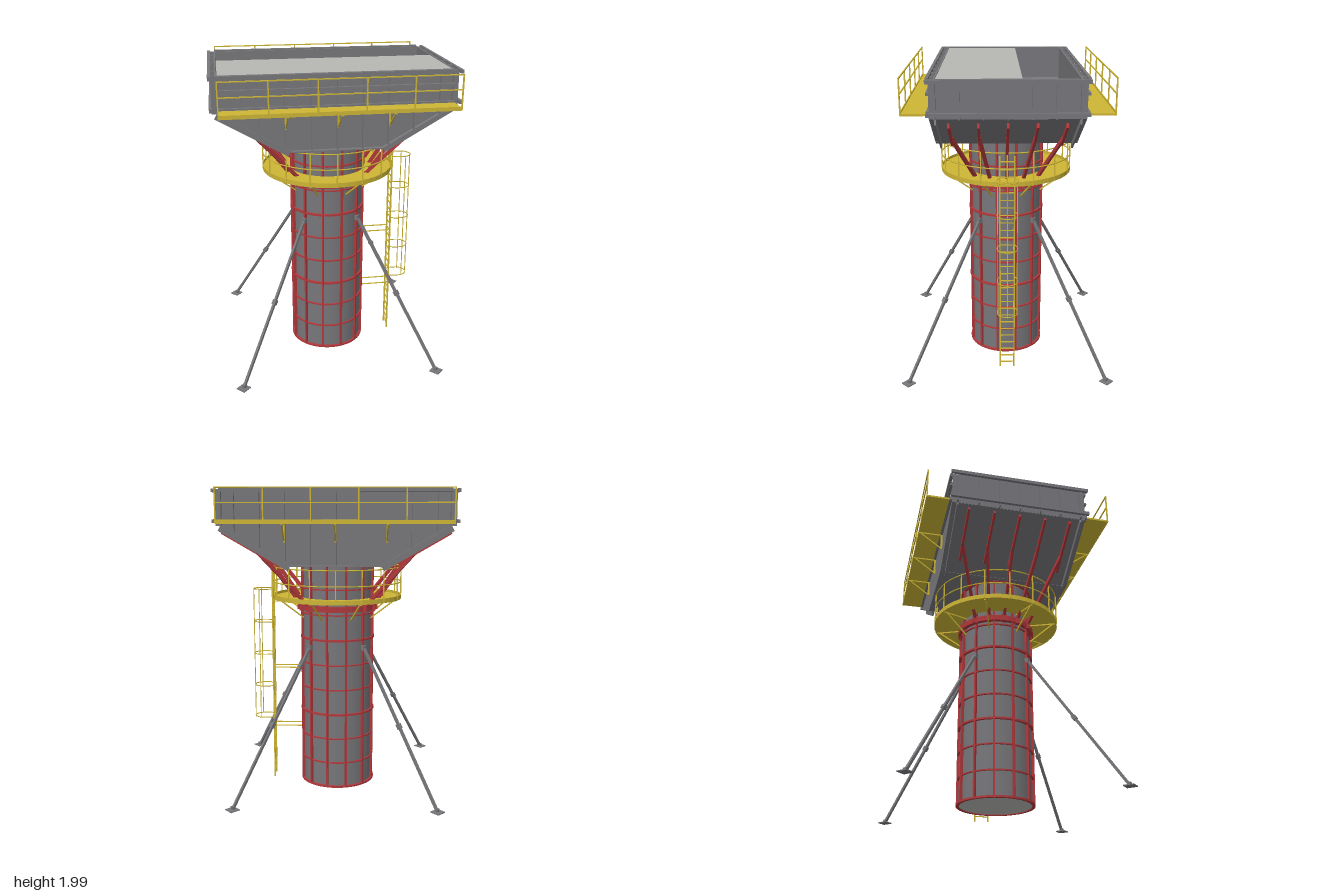
import * as THREE from 'three';

const mat = (name, color, side = THREE.FrontSide) => {
  const m = new THREE.MeshStandardMaterial({ color, side });
  m.name = name;
  return m;
};
const steel = mat('grey steel', 0x77777b);
const red = mat('red steel', 0xb0383b);
const yellow = mat('yellow steel', 0xcdb535);
const concrete = mat('concrete', 0xb6b6b3);

const V = (x, y, z) => new THREE.Vector3(x, y, z);

export function createModel() {
  const model = new THREE.Group();

  const group = (name) => {
    const g = new THREE.Group();
    g.name = name;
    model.add(g);
    return g;
  };
  const add = (parent, name, geo, material, x = 0, y = 0, z = 0) => {
    const m = new THREE.Mesh(geo, material);
    m.name = name;
    m.position.set(x, y, z);
    parent.add(m);
    return m;
  };
  const box = (parent, name, material, w, h, d, x, y, z) =>
    add(parent, name, new THREE.BoxGeometry(w, h, d), material, x, y, z);
  // Rectangular bar between two points
  const bar = (parent, name, material, a, b, w, h = w) => {
    const m = add(parent, name, new THREE.BoxGeometry(w, h, a.distanceTo(b)), material);
    m.position.copy(a).add(b).multiplyScalar(0.5);
    m.lookAt(b);
    return m;
  };
  // Horizontal ring with a rectangular section
  const ring = (parent, name, material, rIn, rOut, y0, y1, seg = 48) => {
    const pts = [[rIn, y0], [rOut, y0], [rOut, y1], [rIn, y1], [rIn, y0]];
    const geo = new THREE.LatheGeometry(pts.map((p) => new THREE.Vector2(...p)), seg).toNonIndexed();
    geo.computeVertexNormals();
    return add(parent, name, geo, material);
  };
  const polar = (r, y, a) => V(r * Math.sin(a), y, r * Math.cos(a));

  // Column form with ribs, hoops and collar
  const column = group('column');
  add(column, 'columnShell', new THREE.CylinderGeometry(0.235, 0.235, 1.51, 48, 1, true), steel, 0, 0.757, 0);
  const base = add(column, 'columnConcrete', new THREE.CircleGeometry(0.235, 48), concrete, 0, 0.003, 0);
  base.rotation.x = Math.PI / 2;
  for (let i = 0; i < 12; i++) {
    const a = ((i + 0.5) * Math.PI) / 6;
    const rib = box(column, 'columnRib', red, 0.012, 1.52, 0.02, 0.242 * Math.sin(a), 0.763, 0.242 * Math.cos(a));
    rib.rotation.y = a;
  }
  for (let i = 0; i < 10; i++) {
    const y = 0.004 + i * 0.1675;
    const t = i % 3 === 0 ? 0.006 : 0.004;
    ring(column, 'columnHoop', red, 0.233, i % 3 === 0 ? 0.252 : 0.247, y - t, y + t);
  }
  ring(column, 'collar', red, 0.233, 0.262, 1.2, 1.236);

  // Hopper-shaped cap form: profile in the front plane
  const profile = (inset, top) => {
    const s = new THREE.Shape();
    [[-0.28, 1.512], [0.28, 1.512], [0.71, 1.76], [0.71, 2], [-0.71, 2], [-0.71, 1.76]].forEach(([x, y], i) => {
      const px = x - Math.sign(x) * inset;
      const py = y === 2 ? top : y + inset;
      if (i) s.lineTo(px, py);
      else s.moveTo(px, py);
    });
    return s;
  };
  const extrude = (shape, depth) => new THREE.ExtrudeGeometry(shape, { depth, bevelEnabled: false });
  const cap = group('capForm');
  box(cap, 'floorPlate', steel, 0.56, 0.01, 0.82, 0, 1.515, 0);
  for (const s of [-1, 1]) {
    add(cap, 'sidePanel', extrude(profile(0, 1.985), 0.01), steel, 0, 0, s > 0 ? 0.405 : -0.415);
    box(cap, 'endPanel', steel, 0.01, 0.225, 0.82, s * 0.71, 1.8725, 0);
    bar(cap, 'slopePanel', steel, V(s * 0.28, 1.515, 0), V(s * 0.71, 1.763, 0), 0.82, 0.01);

    // Side stiffeners, following the sloped lower edge
    for (let i = -4; i <= 4; i++) {
      const x = i * 0.157;
      const y0 = Math.max(1.512, 1.512 + (Math.abs(x) - 0.28) * 0.577);
      box(cap, 'sideRib', steel, 0.008, 1.985 - y0, 0.032, x, (1.985 + y0) / 2, s * 0.428);
    }
    box(cap, 'bottomFlange', steel, 0.56, 0.008, 0.032, 0, 1.516, s * 0.428);
    for (const [y, h] of [[1.979, 0.022], [1.9, 0.015], [1.79, 0.022]])
      box(cap, 'sideWaler', steel, 1.42, h, 0.018, 0, y, s * 0.452);

    // End stiffeners and walers
    for (let i = -3; i <= 3; i++)
      box(cap, 'endRib', steel, 0.03, 0.225, 0.008, s * 0.727, 1.8725, i * 0.136);
    for (const y of [1.975, 1.79])
      box(cap, 'endWaler', steel, 0.018, 0.022, 0.92, s * 0.748, y, 0);
    for (const z of [-1, 1]) {
      box(cap, 'cornerFlange', steel, 0.035, 0.225, 0.01, s * 0.725, 1.8725, z * 0.41);
      box(cap, 'cornerRib', steel, 0.01, 0.225, 0.034, s * 0.707, 1.8725, z * 0.428);
      bar(cap, 'slopeEdge', steel, V(s * 0.29, 1.5, z * 0.41), V(s * 0.72, 1.748, z * 0.41), 0.01, 0.04);
      bar(cap, 'slopeFlange', steel, V(s * 0.28, 1.515, z * 0.428), V(s * 0.71, 1.763, z * 0.428), 0.032, 0.008);
    }
  }
  // Half-filled concrete
  add(cap, 'concreteFill', extrude(profile(0.008, 1.983), 0.484), concrete, 0, 0, -0.08);

  // Red beams under the slopes with struts down to the collar
  const struts = group('capStruts');
  for (const s of [-1, 1])
    for (let i = -2; i <= 2; i++) {
      const z = i * 0.1675;
      const a = (i * Math.PI) / 8;
      const knee = V(s * 0.5, 1.598, z);
      bar(struts, 'slopeBeam', red, V(s * 0.4, 1.54, z), V(s * 0.718, 1.724, z), 0.014, 0.03);
      bar(struts, 'strut', red, knee, V(s * 0.255 * Math.cos(a), 1.225, 0.255 * Math.sin(a)), 0.018, 0.022);
      box(struts, 'strutShoe', red, 0.03, 0.05, 0.03, s * 0.258 * Math.cos(a), 1.218, 0.258 * Math.sin(a));
    }

  // Upper walkways along both long sides
  for (const s of [-1, 1]) {
    const walk = group('upperWalkway');
    box(walk, 'deck', yellow, 1.42, 0.012, 0.145, 0, 1.784, s * 0.534);
    box(walk, 'toeBoard', yellow, 1.42, 0.024, 0.006, 0, 1.788, s * 0.605);
    for (let i = 0; i < 6; i++)
      box(walk, 'railPost', yellow, 0.008, 0.21, 0.008, -0.706 + i * 0.2824, 1.885, s * 0.605);
    for (const y of [1.988, 1.9]) box(walk, 'rail', yellow, 1.42, 0.007, 0.007, 0, y, s * 0.605);
    for (const x of [-0.315, 0, 0.315]) {
      bar(walk, 'bracketBrace', yellow, V(x, 1.67, s * 0.455), V(x, 1.776, s * 0.6), 0.008);
      box(walk, 'bracketPost', yellow, 0.01, 0.115, 0.012, x, 1.72, s * 0.45);
      box(walk, 'bracketArm', yellow, 0.01, 0.01, 0.15, x, 1.774, s * 0.53);
    }
  }

  // Round platform around the column
  const platform = group('ringPlatform');
  ring(platform, 'ringDeck', yellow, 0.25, 0.43, 1.272, 1.282);
  ring(platform, 'ringToeBoard', yellow, 0.427, 0.432, 1.27, 1.3);
  for (const y of [1.486, 1.385]) {
    const rail = add(platform, 'ringRail', new THREE.TorusGeometry(0.43, 0.004, 6, 48), yellow, 0, y, 0);
    rail.rotation.x = Math.PI / 2;
  }
  for (let i = 0; i < 16; i++) {
    const a = (i * Math.PI) / 8;
    bar(platform, 'ringPost', yellow, polar(0.43, 1.275, a), polar(0.43, 1.488, a), 0.008);
    if (i % 2) {
      bar(platform, 'platformBrace', yellow, polar(0.245, 1.145, a), polar(0.41, 1.272, a), 0.009);
      bar(platform, 'platformArm', yellow, polar(0.245, 1.268, a), polar(0.42, 1.268, a), 0.01);
    }
  }

  // Caged ladder on the left
  const ladder = group('ladder');
  for (const s of [-1, 1]) {
    box(ladder, 'ladderRail', yellow, 0.01, 1.47, 0.009, 0.44, 0.735, s * 0.046);
    for (const y of [0.375, 0.79, 1.25])
      box(ladder, 'ladderTie', yellow, 0.2, 0.006, 0.006, 0.34, y, s * 0.046);
  }
  for (let i = 0; i < 29; i++)
    box(ladder, 'rung', yellow, 0.006, 0.006, 0.092, 0.44, 0.035 + i * 0.05, 0);
  const cage = [[0.44, -0.05], [0.47, -0.062], [0.51, -0.064]];
  for (let i = 1; i < 8; i++) {
    const a = -Math.PI / 2 + (i * Math.PI) / 8;
    cage.push([0.51 + 0.064 * Math.cos(a), 0.064 * Math.sin(a)]);
  }
  cage.push([0.51, 0.064], [0.47, 0.062], [0.44, 0.05]);
  const hoop = new THREE.TubeGeometry(
    new THREE.CatmullRomCurve3(cage.map(([x, z]) => V(x, 0, z))), 32, 0.0035, 5);
  for (let i = 0; i < 5; i++) add(ladder, 'cageHoop', hoop, yellow, 0, 0.437 + i * 0.2235, 0);
  for (const [x, z] of [[0.53, -0.061], [0.53, 0.061], [0.574, 0]])
    box(ladder, 'cageBar', yellow, 0.005, 0.9, 0.005, x, 0.884, z);

  // Four adjustable push-pull props
  for (const sx of [-1, 1])
    for (const sz of [-1, 1]) {
      const prop = group('prop');
      const at = (d, y) => V(sx * d, y, sz * d);
      bar(prop, 'propTube', steel, at(0.638, 0.012), at(0.18, 0.955), 0.016);
      bar(prop, 'turnbuckle', steel, at(0.415, 0.47), at(0.402, 0.497), 0.026);
      for (const [name, d, y, w, h] of [['footPlate', 0.642, 0.003, 0.065, 0.006], ['footLug', 0.638, 0.015, 0.022, 0.02],
        ['topLug', 0.178, 0.955, 0.025, 0.035]]) {
        const part = box(prop, name, steel, w, h, w, sx * d, y, sz * d);
        part.rotation.y = Math.PI / 4;
      }
    }

  return model;
}
